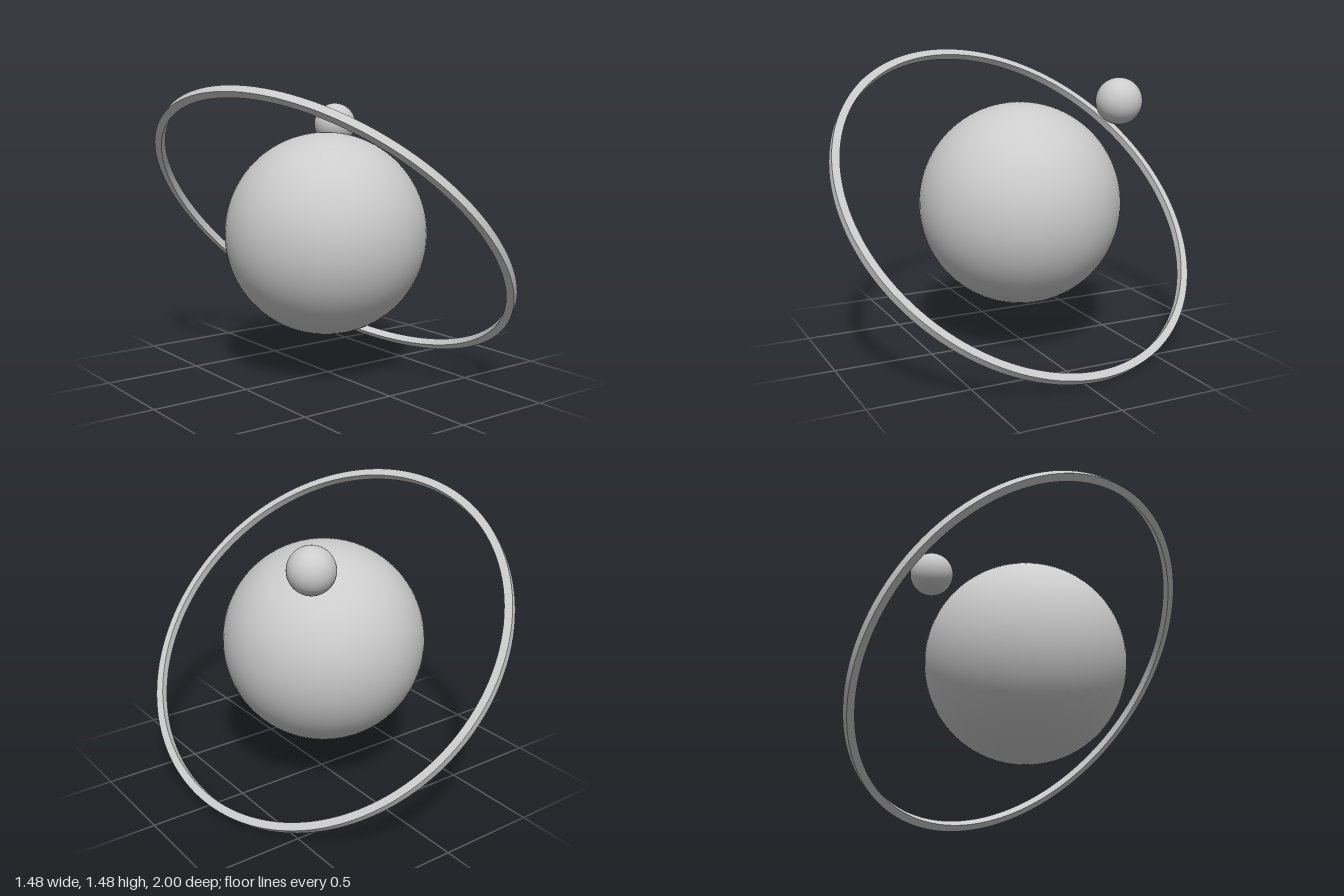
import * as THREE from 'three';
import { toCreasedNormals } from 'three/addons/utils/BufferGeometryUtils.js';

export function createModel() {
  const group = new THREE.Group();
  const grey = new THREE.MeshStandardMaterial({ color: 0xcccccc });
  grey.name = 'light grey';

  function add(name, geometry, x, y, z) {
    const mesh = new THREE.Mesh(geometry, grey);
    mesh.name = name;
    mesh.position.set(x, y, z);
    group.add(mesh);
    return mesh;
  }

  // Large planet and its small moon
  add('planet', new THREE.SphereGeometry(0.514, 64, 48), -0.012, 0.73, 0);
  add('moon', new THREE.SphereGeometry(0.114, 48, 32), 0.325, 1.265, -0.372);

  // Tilted ring: a square section turned around the ring's own axis
  const outer = 1.011, inner = 0.971, half = 0.02;
  const section = [
    [outer, -half], [outer, half], [inner, half], [inner, -half], [outer, -half],
  ].map(([r, h]) => new THREE.Vector2(r, h));
  const ringGeometry = toCreasedNormals(new THREE.LatheGeometry(section, 128), 0.6);
  const ring = add('ring', ringGeometry, 0, 0.738, 0);
  const axis = new THREE.Vector3(0.697, 0.695, -0.176).normalize();
  ring.quaternion.setFromUnitVectors(new THREE.Vector3(0, 1, 0), axis);

  return group;
}
